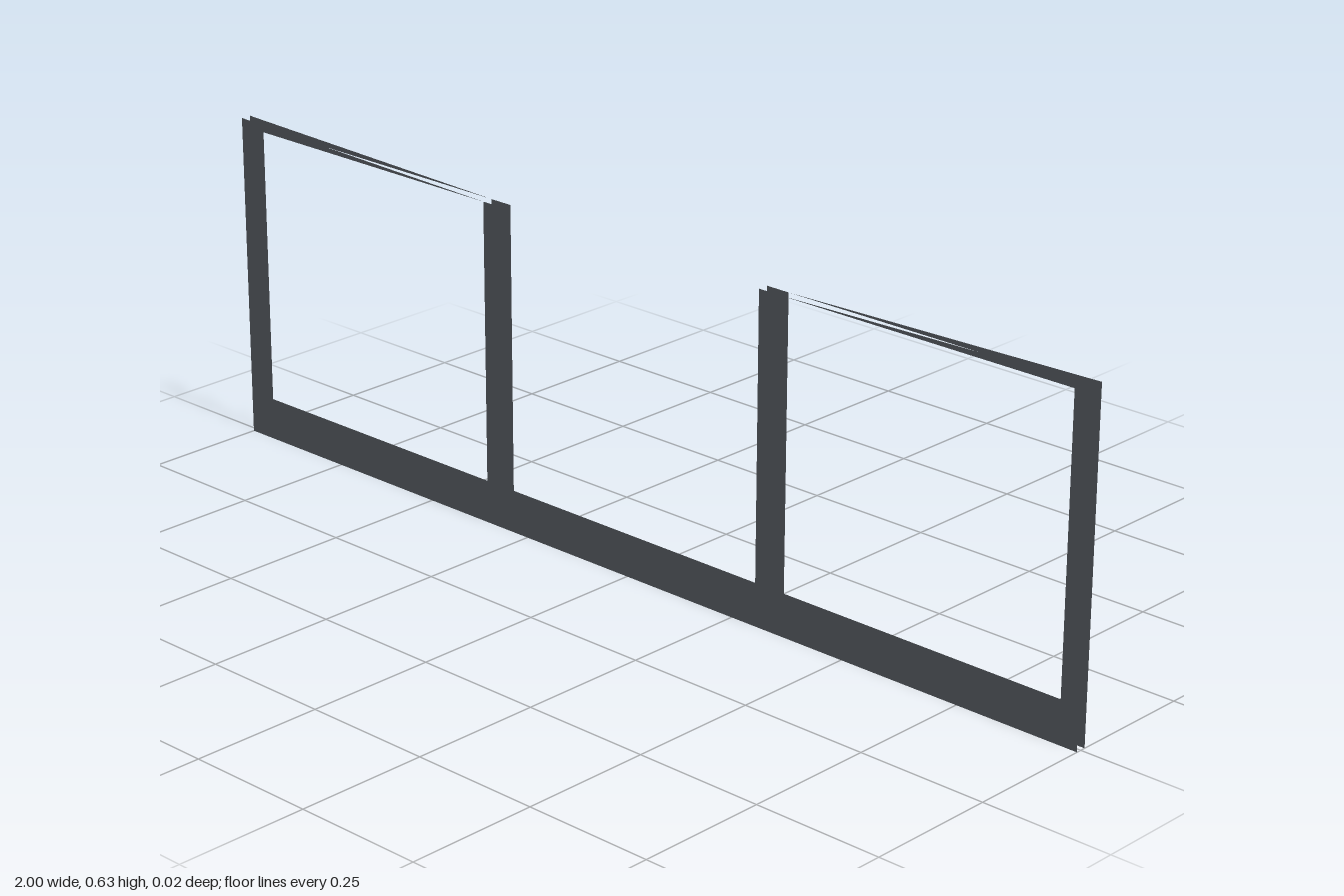
import * as THREE from 'three';

const HEIGHT = 0.632, RAIL = 0.07, LINTEL = 0.617, GAP = 0.02;

export function createModel() {
  const model = new THREE.Group();
  model.name = 'windowFrame';
  const frameGrey = new THREE.MeshStandardMaterial({ color: 0x54595e, side: THREE.DoubleSide });
  frameGrey.name = 'frameGrey';

  // Flat panel from outline points, optionally mirrored in x
  const panel = (group, name, points, mirror = 1) => {
    const shape = new THREE.Shape(points.map(([x, y]) => new THREE.Vector2(x * mirror, y)));
    const mesh = new THREE.Mesh(new THREE.ShapeGeometry(shape), frameGrey);
    mesh.name = name;
    group.add(mesh);
  };

  // One open sheet of the frame, facing +z
  const makeSheet = (name) => {
    const sheet = new THREE.Group();
    sheet.name = name;
    panel(sheet, 'bottomRail', [[-1, 0], [1, 0], [1, RAIL], [-1, RAIL]]);
    for (const [side, m] of [['left', 1], ['right', -1]]) {
      panel(sheet, side + 'OuterPost', [[0.963, RAIL], [1, RAIL], [1, HEIGHT], [0.963, HEIGHT - 0.001]], m);
      panel(sheet, side + 'InnerPost', [[0.304, RAIL], [0.352, RAIL], [0.352, LINTEL], [0.304, LINTEL]], m);
      // Top bar tapering to a point at the inner post
      panel(sheet, side + 'TopBar', [[0.352, LINTEL], [0.963, LINTEL], [0.963, HEIGHT - 0.001]], m);
    }
    return sheet;
  };

  // Two parallel sheets with a narrow gap
  const front = makeSheet('frontSheet');
  front.position.z = GAP / 2;
  const back = makeSheet('backSheet');
  back.rotation.y = Math.PI;
  back.position.z = -GAP / 2;
  model.add(front, back);
  return model;
}
